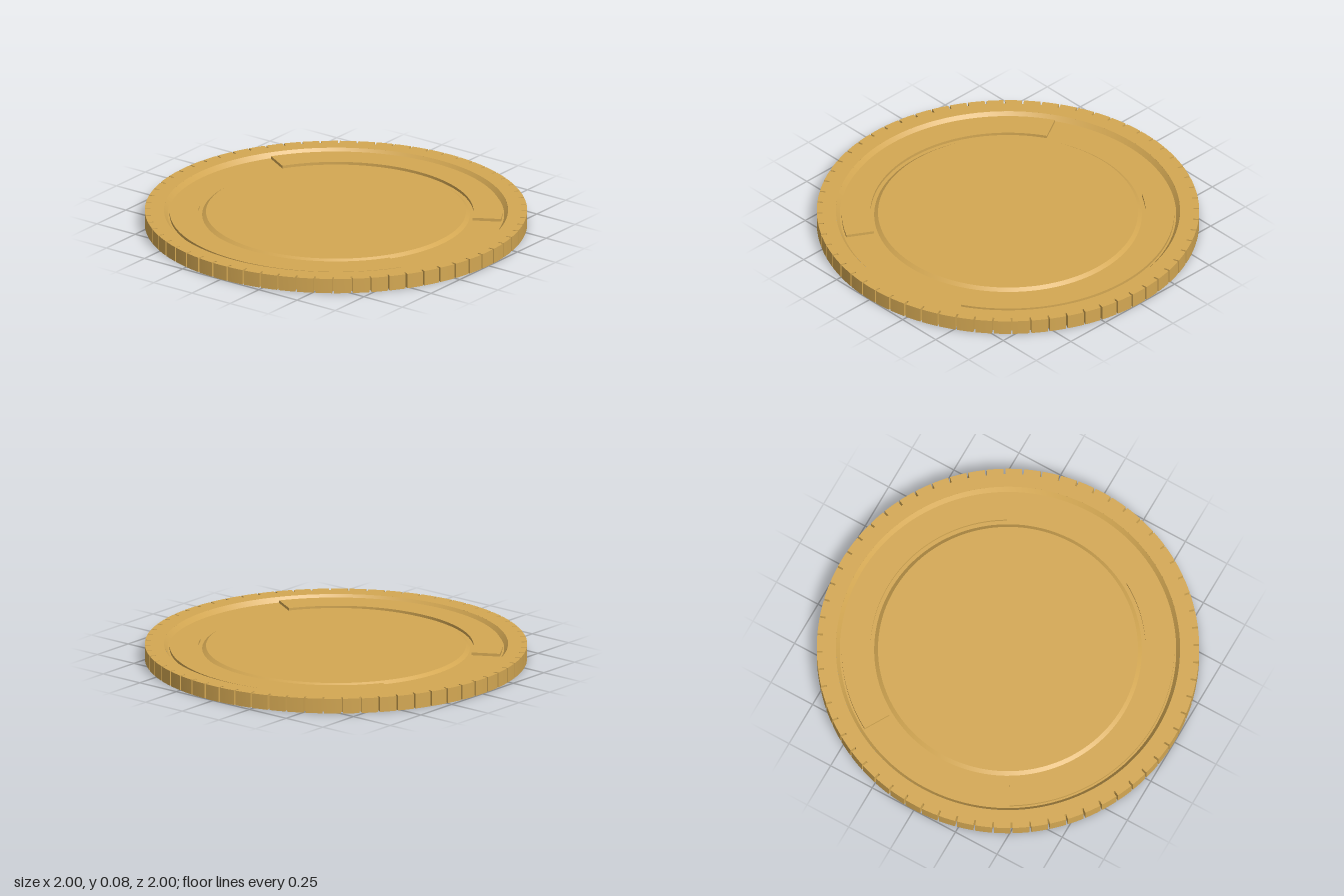
import * as THREE from 'three';
import { toCreasedNormals } from 'three/addons/utils/BufferGeometryUtils.js';

const THICK = 0.08;
const gold = new THREE.MeshStandardMaterial({ color: 0xd4a853 });
gold.name = 'gold';

// Extrude a flat outline upwards between two heights
function slab(shape, y0, y1, name) {
  const geo = new THREE.ExtrudeGeometry(shape, { depth: y1 - y0, bevelEnabled: false, curveSegments: 96 });
  geo.rotateX(-Math.PI / 2);
  geo.translate(0, y0, 0);
  const mesh = new THREE.Mesh(toCreasedNormals(geo, 0.3), gold);
  mesh.name = name;
  return mesh;
}

// Outer ring with narrow notches milled into the edge
function rim() {
  const teeth = 64, pitch = (Math.PI * 2) / teeth, half = 0.005, depth = 0.03;
  const pts = [];
  const add = (r, a) => pts.push(new THREE.Vector2(r * Math.cos(a), r * Math.sin(a)));
  for (let i = 0; i < teeth; i++) {
    const a = i * pitch + 0.043;
    add(1 - depth, a - half);
    add(1 - depth, a + half);
    for (let k = 0; k <= 4; k++) add(1, a + half + (k / 4) * (pitch - 2 * half));
    }
  const shape = new THREE.Shape(pts);
  const hole = new THREE.Path();
  hole.absarc(0, 0, 0.9, 0, Math.PI * 2, true);
  shape.holes.push(hole);
  return slab(shape, 0, THICK, 'milledRim');
}

// One face: raised centre disc, sunken field, slope up to the rim
function face(top) {
  const profile = [[0, 0.07], [0.68, 0.07], [0.7, 0.055], [0.88, 0.055], [0.9, THICK]]
    .map(([r, y]) => new THREE.Vector2(r, top ? y : THICK - y));
  if (top) profile.reverse();
  const geo = new THREE.LatheGeometry(profile, 128);
  const mesh = new THREE.Mesh(toCreasedNormals(geo, 0.3), gold);
  mesh.name = top ? 'topFace' : 'bottomFace';
  return mesh;
}

// Raised arc band covering 120 degrees, standing proud on both faces
function band(start, name) {
  const end = start + (Math.PI * 2) / 3;
  const shape = new THREE.Shape();
  shape.absarc(0, 0, 0.87, start, end, false);
  shape.absarc(0, 0, 0.72, end, start, true);
  shape.closePath();
  return slab(shape, 0.01, 0.07, name);
}

export function createModel() {
  const coin = new THREE.Group();
  coin.name = 'coin';
  coin.add(rim(), face(true), face(false));
  coin.add(band(Math.PI / 6, 'backArcBand'), band((Math.PI * 7) / 6, 'frontArcBand'));
  return coin;
}
